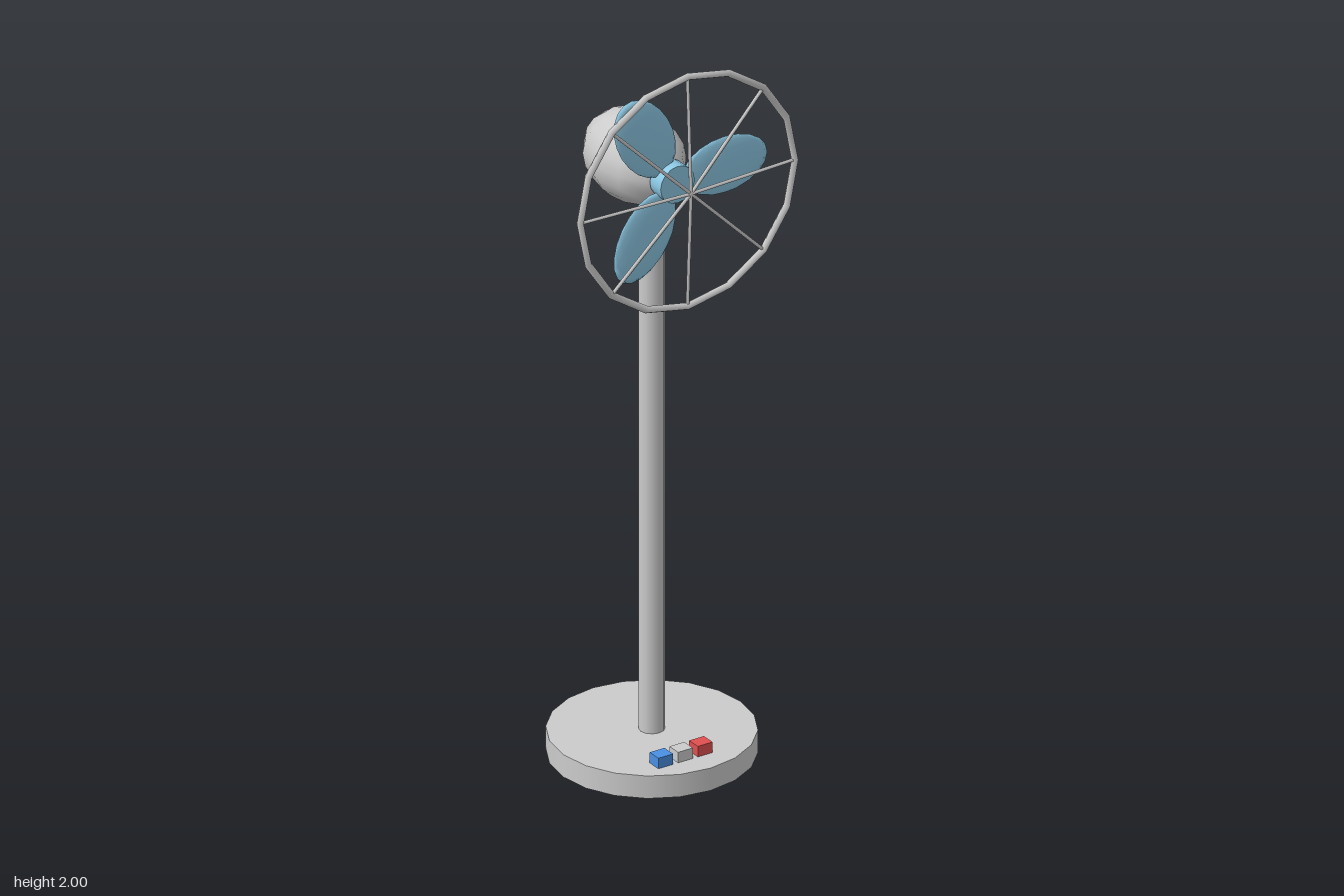
import * as THREE from 'three';

const mat = (color) => new THREE.MeshStandardMaterial({ color });
const HEAD_Y = 1.663;

export function createModel() {
  const model = new THREE.Group();
  model.name = 'pedestalFan';
  const grey = mat(0xcccccc);
  const paleBlue = mat(0x8ecae6);

  const add = (name, geometry, material, x, y, z, parent = model) => {
    const mesh = new THREE.Mesh(geometry, material);
    mesh.name = name;
    mesh.position.set(x, y, z);
    parent.add(mesh);
    return mesh;
  };

  // Round base and pole
  add('base', new THREE.CylinderGeometry(0.27, 0.27, 0.064, 20), grey, 0, 0.032, 0);
  add('pole', new THREE.CylinderGeometry(0.034, 0.034, 1.56, 12), grey, 0, 0.84, 0);

  // Row of push buttons on the front of the base
  [['blueButton', 0x4a90e2], ['greyButton', 0xcccccc], ['redButton', 0xe05050]].forEach(([name, color], i) => {
    add(name, new THREE.BoxGeometry(0.045, 0.03, 0.04), mat(color), -0.09 + i * 0.06, 0.079, 0.18);
  });

  // Egg-shaped motor housing
  const housing = new THREE.SphereGeometry(0.12, 12, 10);
  housing.scale(1, 1, 1.36);
  add('motorHousing', housing, grey, 0, HEAD_Y, -0.08);

  // Hub with three flattened blades
  const rotor = new THREE.Group();
  rotor.name = 'rotor';
  rotor.position.set(0, HEAD_Y, 0.09);
  model.add(rotor);
  const hub = new THREE.CylinderGeometry(0.052, 0.052, 0.05, 16);
  hub.rotateX(Math.PI / 2);
  add('hub', hub, paleBlue, 0, 0, 0.004, rotor);
  for (let i = 0; i < 3; i++) {
    const blade = new THREE.SphereGeometry(1, 12, 10);
    blade.scale(0.13, 0.08, 0.011);
    blade.translate(0.162, 0, 0);
    blade.rotateZ((i * Math.PI * 2) / 3);
    add('blade', blade, paleBlue, 0, 0, 0, rotor);
  }

  // Front guard: ring plus spokes that bow forward to the centre
  const guard = new THREE.Group();
  guard.name = 'guard';
  guard.position.set(0, HEAD_Y, 0.164);
  model.add(guard);
  add('guardRing', new THREE.TorusGeometry(0.327, 0.01, 6, 16), grey, 0, 0, 0, guard);
  for (let i = 0; i < 8; i++) {
    const a = (i * Math.PI) / 4;
    const rim = new THREE.Vector3(Math.cos(a) * 0.327, Math.sin(a) * 0.327, 0);
    const path = new THREE.LineCurve3(rim, new THREE.Vector3(0, 0, 0.016));
    add('guardSpoke', new THREE.TubeGeometry(path, 1, 0.005, 6), grey, 0, 0, 0, guard);
  }

  return model;
}
